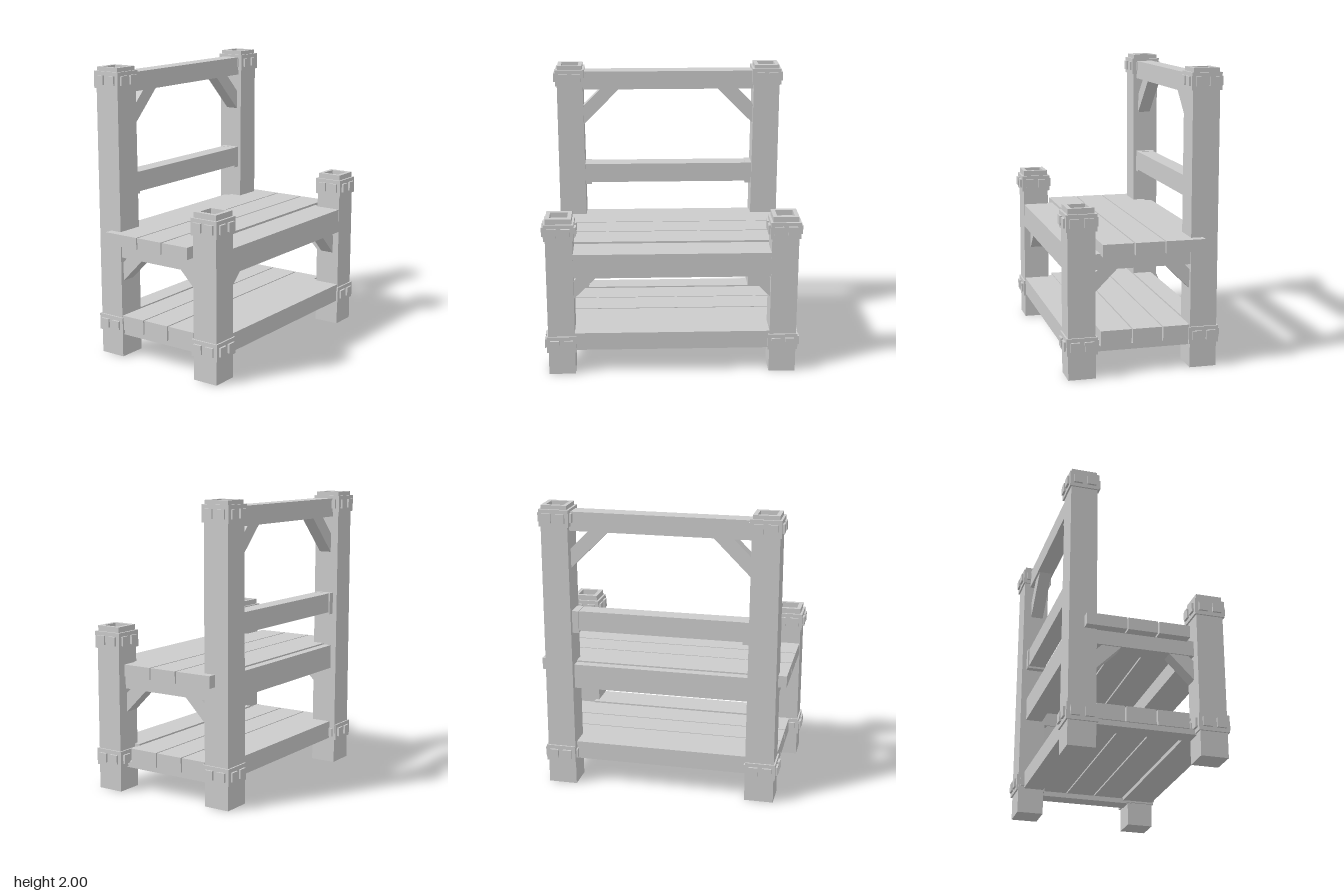
import * as THREE from 'three';

const wood = new THREE.MeshStandardMaterial({ color: 0xcccccc, flatShading: true });

function add(parent, name, geometry) {
  const mesh = new THREE.Mesh(geometry, wood);
  mesh.name = name;
  parent.add(mesh);
  return mesh;
}

// Box given by its minimum and maximum on each axis
function block(parent, name, [x0, x1], [y0, y1], [z0, z1]) {
  const mesh = add(parent, name, new THREE.BoxGeometry(x1 - x0, y1 - y0, z1 - z0));
  mesh.position.set((x0 + x1) / 2, (y0 + y1) / 2, (z0 + z1) / 2);
  return mesh;
}

function square(Target, h) {
  return new Target([[-h, -h], [h, -h], [h, h], [-h, h]].map(p => new THREE.Vector2(...p)));
}

// Square collar with two raised studs on every face
function collar(parent, name, y) {
  const group = new THREE.Group();
  group.name = name;
  group.position.y = y;
  parent.add(group);
  add(group, 'collarBand', new THREE.BoxGeometry(0.206, 0.115, 0.206));
  for (let i = 0; i < 4; i++) {
    const side = new THREE.Group();
    side.name = 'collarStuds';
    side.rotation.y = i * Math.PI / 2;
    group.add(side);
    for (const x of [-0.047, 0.047]) {
      add(side, 'stud', new THREE.BoxGeometry(0.062, 0.062, 0.03)).position.set(x, 0, 0.102);
    }
  }
}

// Post with a recessed top and two collars; lean widens the foot inwards
function post(parent, name, x, z, height, collarY, lean) {
  const group = new THREE.Group();
  group.name = name;
  group.position.set(x, 0, z);
  parent.add(group);
  const rim = 0.05, half = 0.092;
  const body = new THREE.BoxGeometry(half * 2, height - rim, half * 2);
  const p = body.attributes.position;
  for (let i = 0; i < p.count; i++) {
    if (p.getY(i) < 0 && p.getX(i) * x < 0) p.setX(i, p.getX(i) - Math.sign(x) * lean);
  }
  add(group, 'postBody', body).position.y = (height - rim) / 2;

  const frame = square(THREE.Shape, 0.088);
  frame.holes.push(square(THREE.Path, 0.06));
  const cap = new THREE.ExtrudeGeometry(frame, { depth: rim, bevelEnabled: false });
  cap.rotateX(-Math.PI / 2);
  add(group, 'postRim', cap).position.y = height - rim;

  collar(group, 'upperCollar', collarY);
  collar(group, 'lowerCollar', 0.225);
}

// Diagonal brace in the corner below a beam: reach is the long edge, inner the short one
function brace(parent, name, reach, inner, thickness, position, angle) {
  const shape = new THREE.Shape([[0, -reach], [reach, 0], [inner, 0], [0, -inner]]
    .map(p => new THREE.Vector2(...p)));
  const geometry = new THREE.ExtrudeGeometry(shape, { depth: thickness, bevelEnabled: false });
  geometry.translate(0, 0, -thickness / 2);
  const mesh = add(parent, name, geometry);
  mesh.position.set(...position);
  mesh.rotation.y = angle;
}

export function createModel() {
  const model = new THREE.Group();
  model.name = 'bench';

  for (const s of [-1, 1]) {
    const label = s > 0 ? 'left' : 'right';
    const span = (a, b) => s > 0 ? [a, b] : [-b, -a];
    post(model, label + 'FrontPost', s * 0.765, 0.415, 1.135, 1.04, 0);
    post(model, label + 'BackPost', s * 0.708, -0.43, 2, 1.915, 0.015);

    // Side rails under the seat and the shelf
    block(model, label + 'SeatSideRail', span(0.67, 0.79), [0.71, 0.815], [-0.36, 0.36]);
    block(model, label + 'ShelfSideRail', span(0.67, 0.79), [0.16, 0.2], [-0.36, 0.36]);
    block(model, label + 'BackrestEndBlock', span(0.565, 0.64), [1.115, 1.27], [-0.49, -0.36]);

    // Diagonal braces
    const turn = s > 0 ? Math.PI : 0;
    brace(model, label + 'BackrestBrace', 0.265, 0.13, 0.09, [s * 0.62, 1.825, -0.42], turn);
    brace(model, label + 'FrontBrace', 0.17, 0.04, 0.1, [s * 0.678, 0.71, 0.41], turn);
    brace(model, label + 'SideFrontBrace', 0.165, 0.035, 0.1, [s * 0.73, 0.71, 0.322], Math.PI / 2);
    brace(model, label + 'SideBackBrace', 0.165, 0.035, 0.1, [s * 0.73, 0.71, -0.335], -Math.PI / 2);
  }

  // Front and back beams
  block(model, 'frontSeatBeam', [-0.7, 0.7], [0.71, 0.88], [0.285, 0.505]);
  block(model, 'backSeatBeam', [-0.65, 0.65], [0.71, 0.88], [-0.48, -0.36]);
  block(model, 'frontShelfBeam', [-0.7, 0.7], [0.18, 0.305], [0.285, 0.505]);
  block(model, 'backShelfBeam', [-0.65, 0.65], [0.18, 0.305], [-0.48, -0.34]);

  // Backrest rails
  block(model, 'backrestTopRail', [-0.65, 0.65], [1.825, 1.955], [-0.48, -0.36]);
  block(model, 'backrestMiddleRail', [-0.65, 0.65], [1.13, 1.268], [-0.48, -0.36]);

  // Seat and shelf planks
  const planks = [[0.065, 0.275], [-0.143, 0.055], [-0.42, -0.152]];
  planks.forEach(([z0, z1]) => {
    block(model, 'seatPlank', [-0.858, 0.858], [0.808, 0.89], [z0, z1]);
    block(model, 'shelfPlank', [-0.8, 0.8], [0.195, 0.298], [Math.max(z0, -0.335), z1]);
  });

  return model;
}
